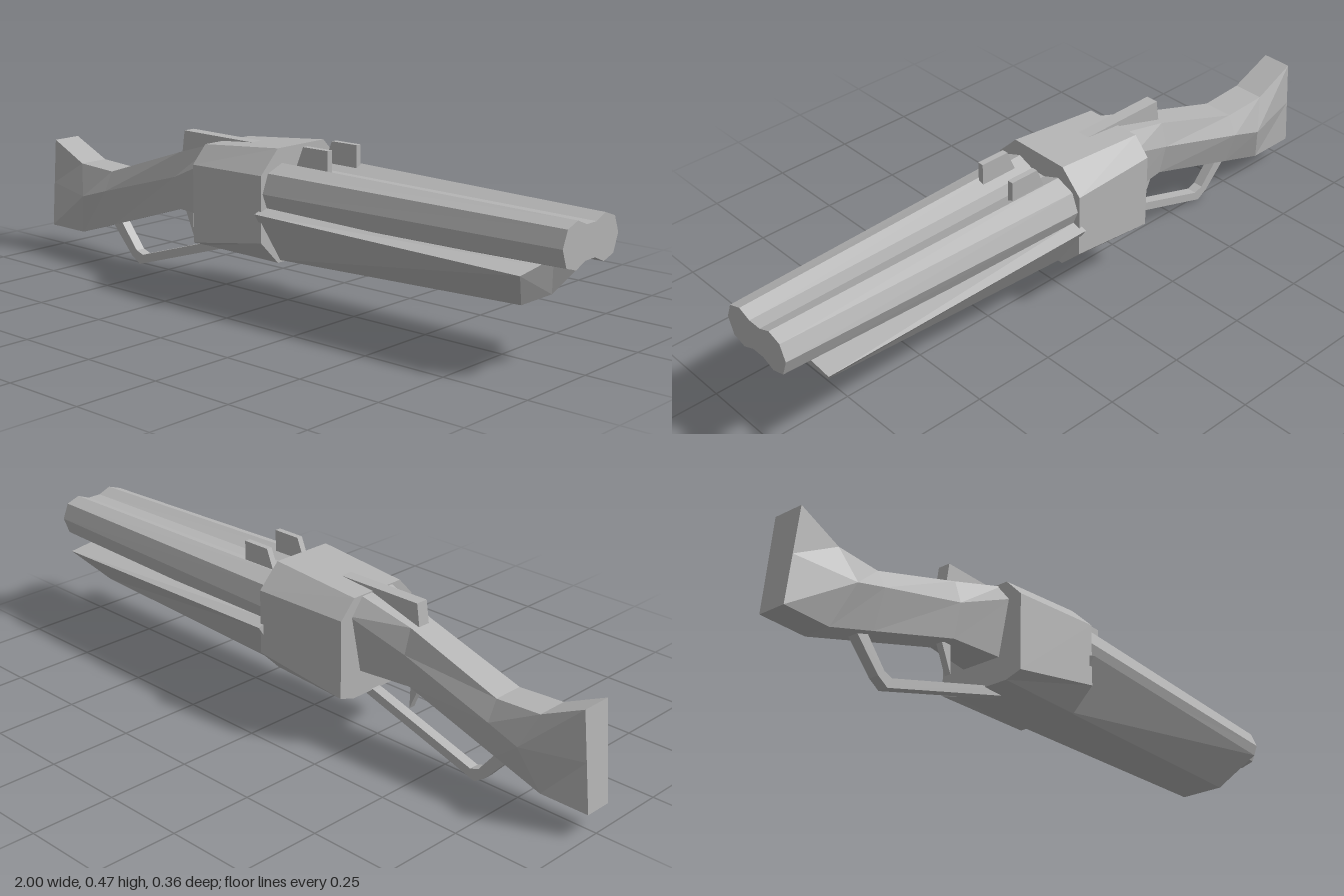
import * as THREE from 'three';

const steel = new THREE.MeshStandardMaterial({ color: 0xb4b4b4, flatShading: true });
steel.name = 'grey';

// Skin a row of cross-sections along x. Each is half a ring of [x, y, z], bottom to top, mirrored in z.
function loft(name, halves) {
  const rings = halves.map((h) => [...h, ...h.map(([x, y, z]) => [x, y, -z]).reverse()]);
  const n = rings[0].length;
  const pos = [];
  const tri = (...pts) => pts.forEach((p) => pos.push(...p));
  for (let i = 0; i < rings.length - 1; i++) {
    for (let j = 0; j < n; j++) {
      const k = (j + 1) % n;
      const a = rings[i][j], b = rings[i][k], c = rings[i + 1][j], d = rings[i + 1][k];
      tri(a, c, d);
      tri(a, d, b);
    }
  }
  // end caps, the last one facing +x
  [rings[0], rings[rings.length - 1]].forEach((ring, end) => {
    const flat = ring.map(([, y, z]) => new THREE.Vector2(-z, y));
    for (const [a, b, c] of THREE.ShapeUtils.triangulateShape(flat, [])) {
      const ccw = THREE.ShapeUtils.area([flat[a], flat[b], flat[c]]) > 0;
      if (ccw === (end === 1)) tri(ring[a], ring[b], ring[c]);
      else tri(ring[a], ring[c], ring[b]);
    }
  });
  const g = new THREE.BufferGeometry();
  g.setAttribute('position', new THREE.Float32BufferAttribute(pos, 3));
  g.computeVertexNormals();
  const mesh = new THREE.Mesh(g, steel);
  mesh.name = name;
  return mesh;
}

// Flat plate cut from a side profile, centred on z
function plate(name, points, width, z = 0) {
  const shape = new THREE.Shape(points.map(([x, y]) => new THREE.Vector2(x, y)));
  const g = new THREE.ExtrudeGeometry(shape, { depth: width, bevelEnabled: false });
  g.translate(0, 0, z - width / 2);
  const mesh = new THREE.Mesh(g, steel);
  mesh.name = name;
  return mesh;
}

const at = (x, pts) => pts.map(([y, z]) => [x, y, z]);

export function createModel() {
  const model = new THREE.Group();
  model.name = 'doubleBarrelGun';

  // Stock: six-sided, pinched at the wrist
  model.add(loft('stock', [
    [[-1, 0.07, 0.042], [-0.985, 0.213, 0.044], [-0.97, 0.355, 0.046]],
    [[-0.85, 0.07, 0.042], [-0.8, 0.2, 0.082], [-0.84, 0.295, 0.048]],
    [[-0.7, 0.118, 0.042], [-0.7, 0.23, 0.077], [-0.7, 0.288, 0.047]],
    [[-0.4, 0.214, 0.042], [-0.4, 0.315, 0.064], [-0.4, 0.387, 0.042]],
    [[-0.23, 0.214, 0.065], [-0.23, 0.385, 0.1], [-0.23, 0.437, 0.06]],
  ]));

  // Receiver block
  model.add(loft('receiver', [
    at(-0.24, [[0.138, 0.09], [0.155, 0.14], [0.385, 0.14], [0.438, 0.09]]),
    at(0.05, [[0.137, 0.095], [0.205, 0.163], [0.395, 0.163], [0.463, 0.095]]),
  ]));

  // Twin barrels as one grooved, tapering bar
  model.add(loft('barrels', [
    at(0.04, [[0.288, 0.022], [0.266, 0.078], [0.288, 0.135], [0.343, 0.157],
      [0.398, 0.135], [0.42, 0.078], [0.398, 0.022]]),
    at(1, [[0.297, 0.022], [0.28, 0.062], [0.293, 0.105], [0.343, 0.124],
      [0.389, 0.105], [0.404, 0.062], [0.388, 0.022]]),
  ]));

  // Fore-end under the barrels, with a raked nose
  model.add(loft('foreEnd', [
    at(0.04, [[0.143, 0.085], [0.289, 0.179], [0.302, 0.14], [0.288, 0.022]]),
    [[0.85, 0.165, 0.068], [0.91, 0.27, 0.166], [0.91, 0.28, 0.085], [0.91, 0.288, 0.022]],
  ]));

  // Top lever, running into the receiver
  model.add(plate('topLever', [[-0.41, 0.385], [-0.2, 0.4], [-0.1, 0.448], [-0.4, 0.45]], 0.038));

  // Pair of sights
  for (const side of [1, -1]) {
    model.add(plate(side > 0 ? 'leftSight' : 'rightSight',
      [[0.09, 0.4], [0.21, 0.4], [0.21, 0.472], [0.12, 0.472]], 0.018, side * 0.06));
  }

  // Trigger and its guard
  model.add(plate('trigger', [[-0.42, 0.23], [-0.375, 0.128], [-0.378, 0.23]], 0.02));
  model.add(plate('triggerGuard', [
    [-0.74, 0.12], [-0.65, 0.022], [-0.615, 0], [-0.17, 0.137], [-0.2, 0.15],
    [-0.25, 0.14], [-0.6, 0.032], [-0.628, 0.042], [-0.7, 0.13],
  ], 0.031));

  return model;
}
